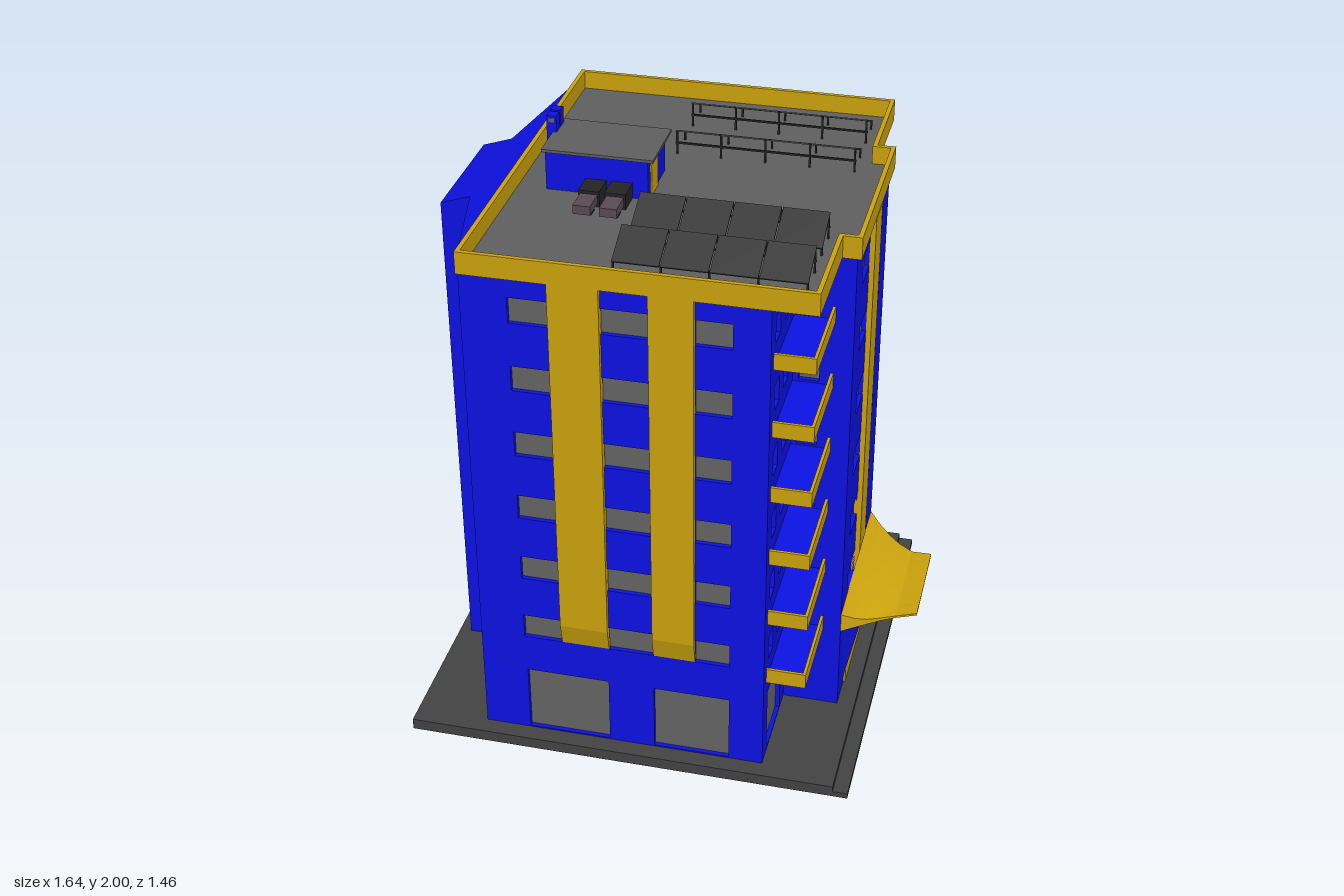
import * as THREE from 'three';
import { ConvexGeometry } from 'three/addons/geometries/ConvexGeometry.js';

const mat = (color, side = THREE.FrontSide) => new THREE.MeshStandardMaterial({ color, side });
const BLUE = mat(0x0d12e8), YELLOW = mat(0xcfa60e), GLASS = mat(0x666666), ROOF = mat(0x606060);
const DARK = mat(0x444444), PANEL = mat(0x383838), BLACK = mat(0x252525), MAUVE = mat(0x5a4c54);
const T = 0.015; // wall thickness, also the window recess
const FLOORS = [0, 1, 2, 3, 4, 5].map(i => 0.24 * i);

export function createModel() {
  const model = new THREE.Group();

  const add = (name, geometry, material, parent = model) => {
    const mesh = new THREE.Mesh(geometry, material);
    mesh.name = name;
    parent.add(mesh);
    return mesh;
  };
  // Box given by its extents
  const box = (name, m, x0, x1, y0, y1, z0, z1, parent) => {
    const b = add(name, new THREE.BoxGeometry(x1 - x0, y1 - y0, z1 - z0), m, parent);
    b.position.set((x0 + x1) / 2, (y0 + y1) / 2, (z0 + z1) / 2);
    return b;
  };
  const polygon = pts => new THREE.Shape(pts.map(p => new THREE.Vector2(...p)));
  // Plan outline (symmetric in z) raised from y0 to y1
  const slab = (name, m, shape, y0, y1) => {
    const g = new THREE.ExtrudeGeometry(shape, { depth: y1 - y0, bevelEnabled: false });
    g.rotateX(-Math.PI / 2).translate(0, y0, 0);
    return add(name, g, m);
  };
  // Wall from a to b (left to right seen from outside), with rectangular openings [u0, u1, y0, y1]
  const wall = (name, a, b, hA, hB, rects) => {
    const dx = b[0] - a[0], dz = b[1] - a[1], len = Math.hypot(dx, dz);
    const shape = polygon([[0, 0.04], [len, 0.04], [len, hB], [0, hA]]);
    for (const [u0, u1, y0, y1] of rects)
      shape.holes.push(new THREE.Path([[u0, y0], [u0, y1], [u1, y1], [u1, y0]].map(p => new THREE.Vector2(...p))));
    const g = new THREE.ExtrudeGeometry(shape, { depth: T, bevelEnabled: false }).translate(0, 0, -T);
    const w = add(name, g, BLUE);
    w.position.set(a[0], 0, a[1]);
    w.rotation.y = Math.atan2(-dz, dx);
  };
  // The same wall on both the front and the back half
  const wallPair = (name, a, b, hA, hB, rects) => {
    const len = Math.hypot(b[0] - a[0], b[1] - a[1]);
    wall(name, a, b, hA, hB, rects);
    wall(name, [b[0], -b[1]], [a[0], -a[1]], hB, hA, rects.map(([u, v, p, q]) => [len - v, len - u, p, q]));
  };
  const windowRows = (spans, y0 = 0.43, y1 = 0.518) =>
    FLOORS.flatMap(f => spans.map(([u, v]) => [u, v, y0 + f, y1 + f]));

  // Ground slabs
  box('basePlinth', DARK, -0.82, 0.64, 0.018, 0.04, -0.73, 0.73);
  box('baseStep', DARK, -0.82, 0.69, 0, 0.02, -0.73, 0.73);

  // Glazed core seen through the openings
  box('mainCore', GLASS, -0.57, 0.39 - T, 0.04, 1.78, -0.67 + T, 0.67 - T);
  box('stairCore', GLASS, 0.3, 0.58 - T, 0.04, 1.78, -0.31 + T, 0.31 - T);
  slab('wingCore', GLASS, polygon([[-0.5, -0.65], [-0.555, -0.65], [-0.663, -0.205], [-0.765, -0.205],
    [-0.765, 0.205], [-0.663, 0.205], [-0.555, 0.65], [-0.5, 0.65]]), 0.04, 1.76);

  // Outer walls
  const wingTop = x => 1.77 + (x + 0.78) / 3;
  wallPair('facadeWall', [-0.57, 0.67], [0.39, 0.67], 1.8, 1.8, [
    ...windowRows([[0.15, 0.285], [0.435, 0.59], [0.73, 0.845]]),
    [0.155, 0.435, 0.045, 0.29], [0.59, 0.845, 0.045, 0.29]]);
  wallPair('balconyWall', [0.39, 0.67], [0.39, 0.31], 1.8, 1.8, [
    ...windowRows([[0.07, 0.14], [0.21, 0.28]]), [0.07, 0.29, 0.045, 0.29]]);
  wallPair('balconyDoorWall', [0.39, 0.31], [0.58, 0.31], 1.8, 1.8, windowRows([[0.02, 0.085]], 0.375));
  wall('stairWall', [0.58, 0.31], [0.58, -0.31], 1.8, 1.8, windowRows([[0.12, 0.25], [0.37, 0.5]]));
  wallPair('wingSlantedWall', [-0.68, 0.22], [-0.57, 0.67], wingTop(-0.68), wingTop(-0.57), windowRows([[0.125, 0.335]]));
  wallPair('wingReturnWall', [-0.78, 0.22], [-0.68, 0.22], wingTop(-0.78), wingTop(-0.68), []);
  wall('wingEndWall', [-0.78, -0.22], [-0.78, 0.22], 1.77, 1.77, [[0.135, 0.165, 0.05, 1.74], [0.195, 0.225, 0.05, 1.74]]);

  // Sloping roof of the wing
  const wingRoof = new THREE.ShapeGeometry(polygon([[-0.56, -0.67], [-0.57, -0.67], [-0.68, -0.22], [-0.78, -0.22],
    [-0.78, 0.22], [-0.68, 0.22], [-0.57, 0.67], [-0.56, 0.67]])).rotateX(-Math.PI / 2);
  const wp = wingRoof.attributes.position;
  for (let i = 0; i < wp.count; i++) wp.setY(i, wingTop(wp.getX(i)));
  wingRoof.computeVertexNormals();
  add('wingRoof', wingRoof, mat(0x0d12e8, THREE.DoubleSide));

  // Main roof and parapet
  const outline = d => [[-0.57 + d, -0.69 + d], [0.535 - d, -0.69 + d], [0.535 - d, -0.325 + d], [0.595 - d, -0.325 + d],
    [0.595 - d, 0.325 - d], [0.535 - d, 0.325 - d], [0.535 - d, 0.69 - d], [-0.57 + d, 0.69 - d]];
  slab('roofSlab', ROOF, polygon(outline(0.004)), 1.793, 1.803);
  const rim = polygon(outline(0));
  rim.holes.push(new THREE.Path(outline(0.015).reverse().map(p => new THREE.Vector2(...p))));
  slab('parapet', YELLOW, rim, 1.79, 1.865);

  // Vertical bands, tapering into the wall at the foot
  const band = (x, z, angle, width) => {
    const g = new THREE.ExtrudeGeometry(polygon([[0, 0.43], [0.017, 0.51], [0.017, 1.795], [-0.01, 1.795], [-0.01, 0.43]]),
      { depth: width, bevelEnabled: false }).translate(0, 0, -width / 2);
    const b = add('verticalBand', g, YELLOW);
    b.position.set(x, 0, z);
    b.rotation.y = angle;
  };
  for (const s of [1, -1]) {
    band(-0.21, s * 0.67, -s * Math.PI / 2, 0.16);
    band(0.09, s * 0.67, -s * Math.PI / 2, 0.14);
  }
  band(0.58, 0, 0, 0.12);

  // Balconies
  for (const s of [1, -1]) for (const f of FLOORS) {
    const b = new THREE.Group();
    b.name = 'balcony';
    const y = 0.355 + f, zs = (a, c) => (s > 0 ? [a, c] : [-c, -a]);
    box('balconyFloor', BLUE, 0.385, 0.515, y, y + 0.012, ...zs(0.305, 0.625), b);
    box('balconyFront', YELLOW, 0.51, 0.52, y, y + 0.055, ...zs(0.31, 0.63), b);
    box('balconyEnd', YELLOW, 0.39, 0.51, y, y + 0.055, ...zs(0.62, 0.63), b);
    model.add(b);
  }

  // Entrance with splayed cheeks
  box('entranceDoor', YELLOW, 0.57, 0.587, 0.04, 0.36, -0.19, 0.19);
  for (const s of [1, -1])
    add('entranceCheek', new ConvexGeometry([[0.575, 0.04, 0.19], [0.575, 0.37, 0.19], [0.64, 0.36, 0.19], [0.575, 0.37, 0.31]]
      .map(([x, y, z]) => new THREE.Vector3(x, y, s * z))), BLUE);

  // Swept canopy: sections of [x, half width, underside, top at the middle, top at the edge]
  const sections = [[0.58, 0.31, 0.355, 0.43, 0.425], [0.62, 0.28, 0.355, 0.407, 0.395], [0.66, 0.25, 0.354, 0.388, 0.375],
    [0.70, 0.22, 0.353, 0.374, 0.365], [0.75, 0.19, 0.352, 0.362, 0.36], [0.82, 0.175, 0.364, 0.37, 0.372]];
  const N = 8, ring = 2 * (N + 1), pos = [], idx = [];
  for (const [x, w, low, mid, edge] of sections)
    for (let k = 0; k < ring; k++) {
      const t = k <= N ? -1 + 2 * k / N : 1 - 2 * (k - N - 1) / N;
      pos.push(x, k <= N ? mid + (edge - mid) * t * t : low, t * w);
    }
  for (let i = 0; i < sections.length - 1; i++)
    for (let k = 0; k < ring; k++) {
      const a = i * ring + k, b = i * ring + (k + 1) % ring;
      idx.push(a, b, a + ring, b, b + ring, a + ring);
    }
  const tip = (sections.length - 1) * ring;
  for (let k = 0; k < N; k++) {
    const a = tip + k, b = a + 1, c = tip + ring - 1 - k, d = c - 1;
    idx.push(a, b, c, b, d, c);
  }
  let canopy = new THREE.BufferGeometry();
  canopy.setAttribute('position', new THREE.Float32BufferAttribute(pos, 3));
  canopy.setIndex(idx);
  canopy = canopy.toNonIndexed();
  canopy.computeVertexNormals();
  add('entranceCanopy', canopy, mat(0xcfa60e, THREE.DoubleSide));

  // Roof house with door and flues
  box('roofHouse', BLUE, -0.46, -0.125, 1.8, 1.936, -0.11, 0.11);
  box('roofHouseTop', DARK, -0.47, -0.105, 1.935, 1.945, -0.12, 0.12).material = ROOF;
  box('roofHouseDoor', YELLOW, -0.13, -0.12, 1.8, 1.91, 0, 0.08);
  for (const z of [-0.075, -0.03]) {
    box('flue', BLUE, -0.49, -0.457, 1.8, 2, z - 0.018, z + 0.018);
    box('flueVent', GLASS, -0.483, -0.464, 1.978, 1.992, z - 0.019, z + 0.019);
  }

  for (const s of [1, -1]) {
    // Rooftop plant units
    for (const x of [-0.295, -0.21]) {
      const zs = (a, c) => (s > 0 ? [a, c] : [-c, -a]);
      box('plantUnit', BLACK, x - 0.034, x + 0.034, 1.8, 1.855, ...zs(0.11, 0.195));
      box('plantCowl', MAUVE, x - 0.028, x + 0.028, 1.815, 1.845, ...zs(0.19, 0.28));
      box('plantFoot', BLACK, x - 0.024, x + 0.024, 1.8, 1.816, ...zs(0.215, 0.255));
    }
    // Solar panels tilted outwards on thin frames
    for (const z of [0.292, 0.515]) {
      const row = new THREE.Group();
      row.name = 'solarRow';
      for (let i = 0; i < 4; i++) {
        const p = add('solarPanel', new THREE.BoxGeometry(0.146, 0.005, 0.14), PANEL, row);
        p.position.set(-0.045 + 0.15 * i, 1.859, s * z);
        p.rotation.x = s * 0.44;
      }
      for (let i = 0; i <= 4; i++) {
        const x = -0.115 + 0.1475 * i, back = s * (z - 0.055), front = s * (z + 0.055);
        box('backPost', BLACK, x - 0.003, x + 0.003, 1.8, 1.884, back - 0.003, back + 0.003, row);
        box('frontPost', BLACK, x - 0.003, x + 0.003, 1.8, 1.833, front - 0.003, front + 0.003, row);
      }
      const r = s * (z - 0.055);
      box('rail', BLACK, -0.12, 0.48, 1.84, 1.846, r - 0.003, r + 0.003, row);
      model.add(row);
    }
  }
  return model;
}
